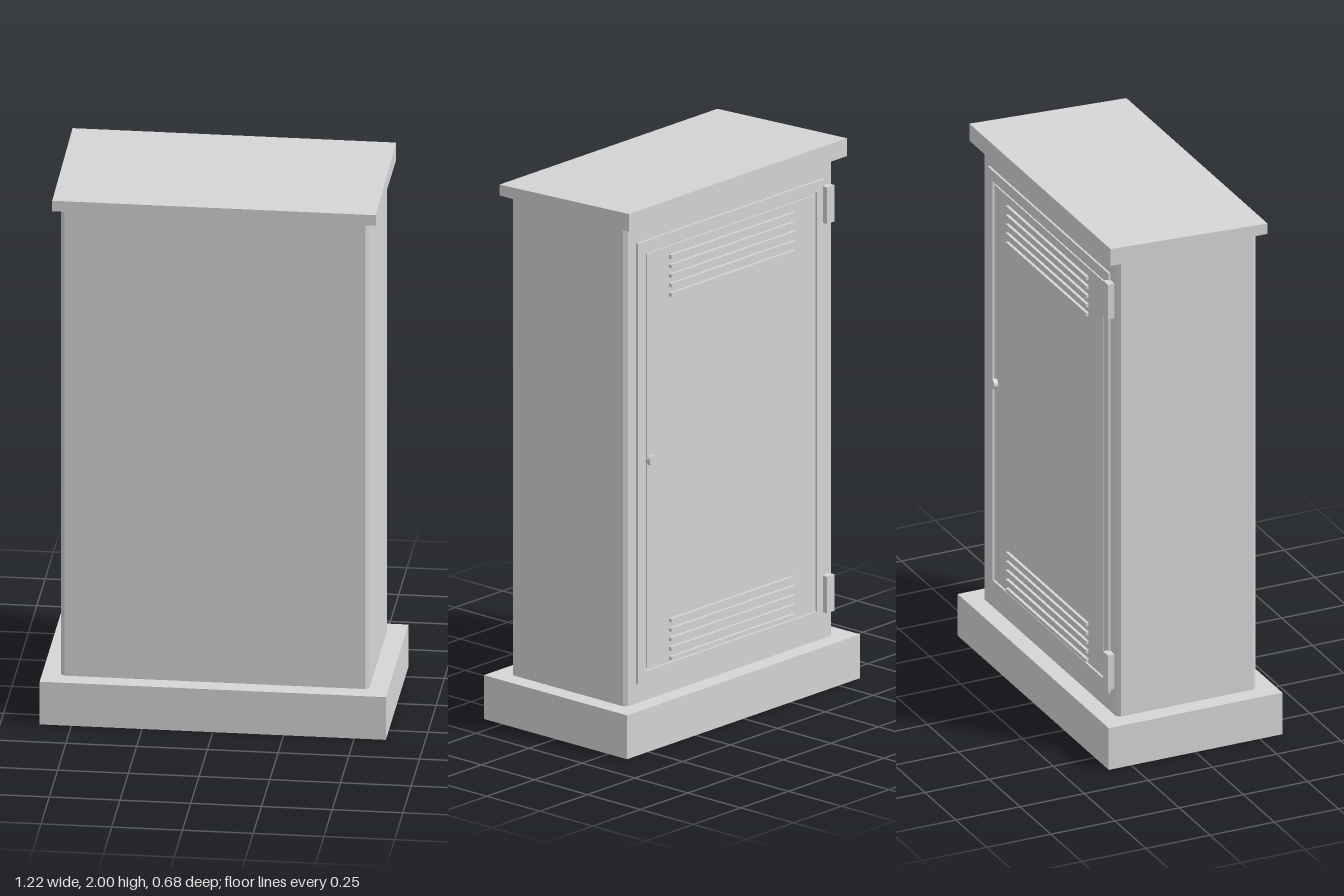
import * as THREE from 'three';

const grey = new THREE.MeshStandardMaterial({ color: 0xd5d5d5 });
grey.name = 'light cabinet grey';

// Box given by its centre in x and y, and its z range
function plate(name, w, h, x, y, z0, z1) {
  const mesh = new THREE.Mesh(new THREE.BoxGeometry(w, h, Math.abs(z1 - z0)), grey);
  mesh.position.set(x, y, (z0 + z1) / 2);
  mesh.name = name;
  return mesh;
}

function rectPath(path, w, h) {
  path.moveTo(-w / 2, -h / 2);
  path.lineTo(w / 2, -h / 2);
  path.lineTo(w / 2, h / 2);
  path.lineTo(-w / 2, h / 2);
  path.closePath();
  return path;
}

function extrude(name, shape, depth) {
  const geo = new THREE.ExtrudeGeometry(shape, { depth, bevelEnabled: false });
  const mesh = new THREE.Mesh(geo, grey);
  mesh.name = name;
  return mesh;
}

export function createModel() {
  const model = new THREE.Group();
  model.name = 'utilityCabinet';

  // Plinth
  model.add(plate('plinth', 1.224, 0.162, 0, 0.081, -0.338, 0.338));

  // Body with chamfered upright corners
  const X = 0.545, Z = 0.272, c = 0.013;
  const outline = new THREE.Shape([
    [X, Z - c], [X - c, Z], [c - X, Z], [-X, Z - c],
    [-X, c - Z], [c - X, -Z], [X - c, -Z], [X, c - Z],
  ].map(([x, z]) => new THREE.Vector2(x, z)));
  const body = extrude('body', outline, 1.775);
  body.rotation.x = -Math.PI / 2;
  body.position.y = 0.162;
  model.add(body);

  // Roof: side profile sloping down to the front
  const profile = new THREE.Shape([
    [-0.3, 1.934], [0.312, 1.934], [0.312, 2], [-0.3, 1.974],
  ].map(([z, y]) => new THREE.Vector2(z, y)));
  const roof = extrude('roof', profile, 1.144);
  roof.rotation.y = Math.PI / 2;
  roof.position.x = -0.572;
  model.add(roof);

  // Door frame on the back, with the door set inside a narrow gap
  const midY = 1.048;
  const ring = rectPath(new THREE.Shape(), 0.98, 1.63);
  ring.holes.push(rectPath(new THREE.Path(), 0.9, 1.55));
  const frame = extrude('doorFrame', ring, 0.01);
  frame.position.set(0, midY, -0.28);
  model.add(frame);
  model.add(plate('door', 0.88, 1.53, 0, midY, -0.27, -0.278));

  // Two sets of ventilation louvres
  for (const [side, y0] of [['upper', 1.635], ['lower', 0.291]]) {
    const louvres = new THREE.Group();
    louvres.name = side + 'Louvres';
    for (let i = 0; i < 5; i++) {
      louvres.add(plate('louvre', 0.65, 0.013, 0, y0 + i * 0.035, -0.275, -0.289));
    }
    model.add(louvres);
  }

  // Hinges
  for (const y of [0.33, 1.769]) {
    model.add(plate('hinge', 0.04, 0.135, -0.502, y, -0.27, -0.298));
  }

  // Knob
  const knob = new THREE.Mesh(new THREE.CylinderGeometry(0.018, 0.018, 0.02, 20), grey);
  knob.rotation.x = Math.PI / 2;
  knob.position.set(0.425, 1.048, -0.284);
  knob.name = 'knob';
  model.add(knob);

  return model;
}
